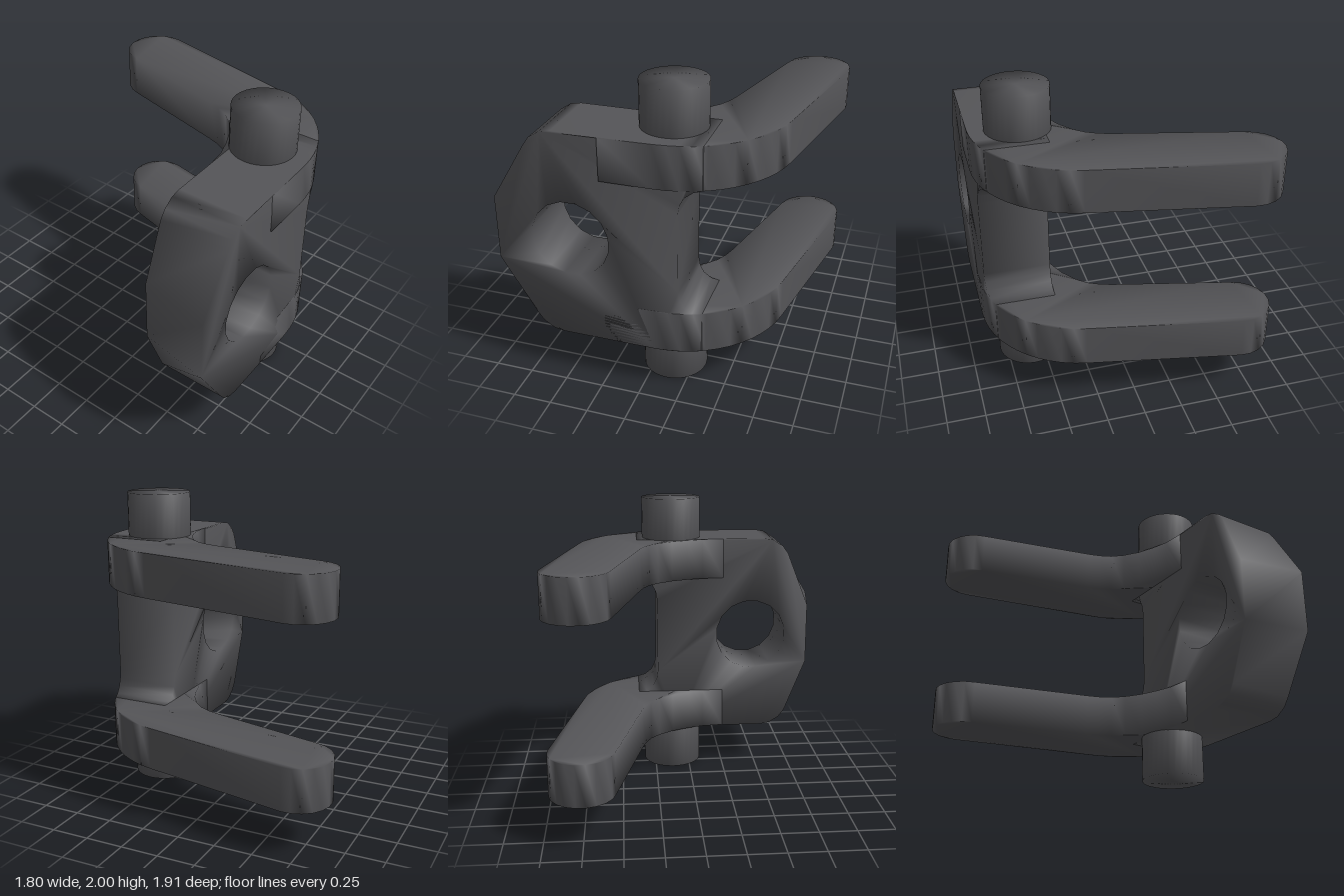
import * as THREE from 'three';
import { mergeVertices } from 'three/addons/utils/BufferGeometryUtils.js';

const steel = new THREE.MeshStandardMaterial({ color: 0x555558 });
steel.name = 'dark steel';

// Weld all corners so the shading runs smoothly around the edges
function weld(geometry) {
  geometry.deleteAttribute('uv');
  geometry.deleteAttribute('normal');
  const g = mergeVertices(geometry, 1e-4);
  g.computeVertexNormals();
  return g;
}

function part(name, geometry) {
  const mesh = new THREE.Mesh(weld(geometry), steel);
  mesh.name = name;
  return mesh;
}

const toShape = pts => new THREE.Shape(pts.map(([x, y]) => new THREE.Vector2(x, y)));

// Outer bend of the arms, an arc about (0.2, -0.08)
const BEND = { x: 0.2, z: -0.08, r: 0.7 };
const outerX = z => (z > BEND.z ? 0.9 : BEND.x + Math.sqrt(BEND.r ** 2 - (z - BEND.z) ** 2));

// Bent arm with a round tip, drawn in plan as (x, -z)
function armGeometry() {
  const pts = [[0.44, -0.25], [0.9, -0.25]];
  for (let i = 0; i <= 12; i++) {
    const a = (i / 12) * 1.39;
    pts.push([BEND.x + BEND.r * Math.cos(a), -BEND.z + BEND.r * Math.sin(a)]);
  }
  for (let i = 0; i <= 10; i++) {
    const a = 1.42 + (i / 10) * 3.12;
    pts.push([-0.695 + 0.212 * Math.cos(a), 0.75 + 0.212 * Math.sin(a)]);
  }
  pts.push([0.04, 0.355], [0.12, 0.33], [0.2, 0.29], [0.27, 0.225],
    [0.34, 0.125], [0.39, 0.01], [0.425, -0.1]);
  const g = new THREE.ExtrudeGeometry(toShape(pts), { depth: 0.28, bevelEnabled: false });
  return g.rotateX(-Math.PI / 2);
}

// Upright plate with an eye, drawn from the side as (-z, y)
function plateGeometry() {
  const half = [[-0.95, 0.215], [-0.72, 0.595], [-0.68, 0.65], [-0.61, 0.695], [-0.54, 0.707],
    [0.08, 0.707], [0.16, 0.707], [0.24, 0.707], [0.31, 0.707], [0.37, 0.707], [0.37, 0.425],
    [0.315, 0.415], [0.265, 0.38], [0.24, 0.33], [0.23, 0.27]];
  const upper = half.map(([u, v]) => [u, 1.005 + v]);
  const lower = half.map(([u, v]) => [u, 1.005 - v]).reverse();
  const shape = toShape([...upper, ...lower]);
  const eye = new THREE.Path();
  for (let i = 0; i <= 16; i++) {
    const a = ((i + 0.5) / 16) * Math.PI * 2;
    const p = [-0.455 + 0.253 * Math.cos(a), 1.005 + 0.253 * Math.sin(a)];
    i ? eye.lineTo(...p) : eye.moveTo(...p);
  }
  shape.holes.push(eye);
  const g = new THREE.ExtrudeGeometry(shape, { depth: 0.46, bevelEnabled: false });
  g.rotateY(Math.PI / 2).translate(0.44, 0, 0);
  // Slant the front edge and follow the bend at the back
  const p = g.attributes.position;
  for (let i = 0; i < p.count; i++) {
    const x = p.getX(i), z = p.getZ(i);
    if (z > 0.9 && x < 0.6) p.setZ(i, 0.87);
    if (x > 0.6 && z < BEND.z) p.setX(i, outerX(z) - 0.001);
  }
  return g;
}

export function createModel() {
  const group = new THREE.Group();
  group.name = 'hinge bracket';
  group.add(part('eyePlate', plateGeometry()));

  [['lowerArm', 0.3], ['upperArm', 1.43]].forEach(([name, y]) => {
    const arm = part(name, armGeometry());
    arm.position.y = y;
    group.add(arm);
  });

  // Pivot stubs above and below
  [['lowerPin', 0.2], ['upperPin', 1.8]].forEach(([name, y]) => {
    const pin = part(name, new THREE.CylinderGeometry(0.21, 0.21, 0.4, 32));
    pin.position.set(0.59, y, -0.12);
    group.add(pin);
  });
  return group;
}
